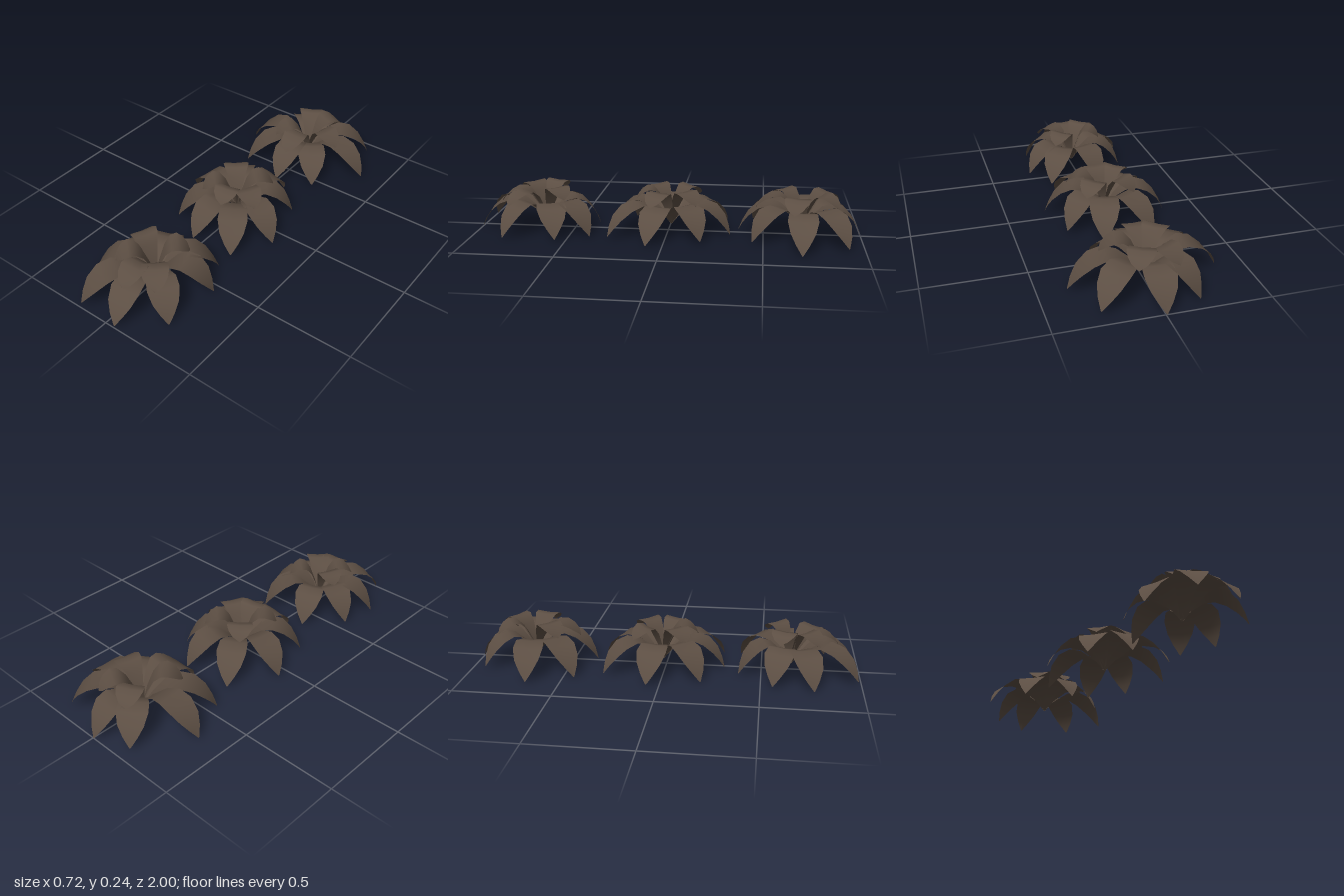
import * as THREE from 'three';

// Leaf cross-sections: [distance along reach 0..1, height, half width]
const OUTER = [
  [0, 0.04, 0.008], [0.14, 0.1, 0.028], [0.34, 0.153, 0.053], [0.52, 0.167, 0.071],
  [0.7, 0.146, 0.076], [0.85, 0.1, 0.061], [0.94, 0.053, 0.034], [1, 0.008, 0.004],
];
const INNER = [
  [0, 0.04, 0.008], [0.13, 0.12, 0.024], [0.3, 0.19, 0.043], [0.48, 0.225, 0.06],
  [0.66, 0.226, 0.067], [0.82, 0.208, 0.057], [0.94, 0.184, 0.036], [1, 0.164, 0.006],
];

// Three rosettes: centre, then leaf tips as [x, z] from that centre
const PLANTS = [
  {
    name: 'backRosette', centre: [-0.005, -0.7],
    outer: [[0, -0.3], [-0.18, -0.235], [0.27, -0.22], [0.365, 0.01], [0.19, 0.255], [0, 0.33], [-0.25, 0.255], [-0.355, 0.03]],
    inner: [[-0.13, 0.15], [0, 0.24], [0.21, 0.05], [0.09, -0.18], [-0.1, -0.18]],
  },
  {
    name: 'middleRosette', centre: [-0.01, -0.015],
    outer: [[-0.175, -0.29], [0.085, -0.315], [0.24, -0.17], [0.3, 0.1], [0.19, 0.31], [-0.04, 0.325], [-0.23, 0.215], [-0.31, -0.05]],
    inner: [[-0.13, 0.13], [0.03, 0.18], [0.18, 0.09], [0.13, -0.14], [-0.12, -0.14]],
  },
  {
    name: 'frontRosette', centre: [0, 0.65],
    outer: [[-0.1, -0.265], [0.18, -0.26], [0.275, -0.1], [0.24, 0.185], [0.05, 0.345], [-0.17, 0.335], [-0.29, 0.115], [-0.265, -0.09]],
    inner: [[0.12, -0.12], [-0.12, 0.14], [0.02, 0.24], [0.16, 0.17], [-0.15, -0.06]],
  },
];

// Arched leaf: a strip three points wide, swept along the profile
function leafGeometry(profile, reach, lift) {
  const pos = [], index = [];
  profile.forEach(([t, y, w], i) => {
    for (const s of [-1, 0, 1]) {
      pos.push(s * w, y + lift * t + (s === 0 ? -0.004 : 0), t * reach);
    }
    if (i === 0) return;
    for (let k = 0; k < 2; k++) {
      const a = (i - 1) * 3 + k, b = i * 3 + k;
      index.push(a, b, b + 1, a, b + 1, a + 1);
    }
  });
  const g = new THREE.BufferGeometry();
  g.setAttribute('position', new THREE.Float32BufferAttribute(pos, 3));
  g.setIndex(index);
  g.computeVertexNormals();
  return g;
}

export function createModel() {
  const model = new THREE.Group();
  model.name = 'leafRosettes';
  const leafBrown = new THREE.MeshStandardMaterial({ color: 0x5c4e43, side: THREE.DoubleSide });
  leafBrown.name = 'leafBrown';

  for (const plant of PLANTS) {
    const rosette = new THREE.Group();
    rosette.name = plant.name;
    rosette.position.set(plant.centre[0], 0, plant.centre[1]);

    const addRing = (tips, profile, name, liftOf) => tips.forEach(([x, z], i) => {
      const reach = Math.hypot(x, z);
      const leaf = new THREE.Mesh(leafGeometry(profile, reach, liftOf(reach, i)), leafBrown);
      leaf.name = name + (i + 1);
      leaf.rotation.y = Math.atan2(x, z);
      rosette.add(leaf);
    });
    // Outer tips vary a little in height; shorter inner leaves stand more upright
    addRing(plant.outer, OUTER, 'outerLeaf', (reach, i) => (i % 3) * 0.006);
    addRing(plant.inner, INNER, 'innerLeaf', (reach) => (0.21 - reach) * 0.5);
    model.add(rosette);
  }

  // Rest the lowest leaf tip on the ground
  const box = new THREE.Box3().setFromObject(model);
  for (const rosette of model.children) rosette.position.y -= box.min.y;
  return model;
}
